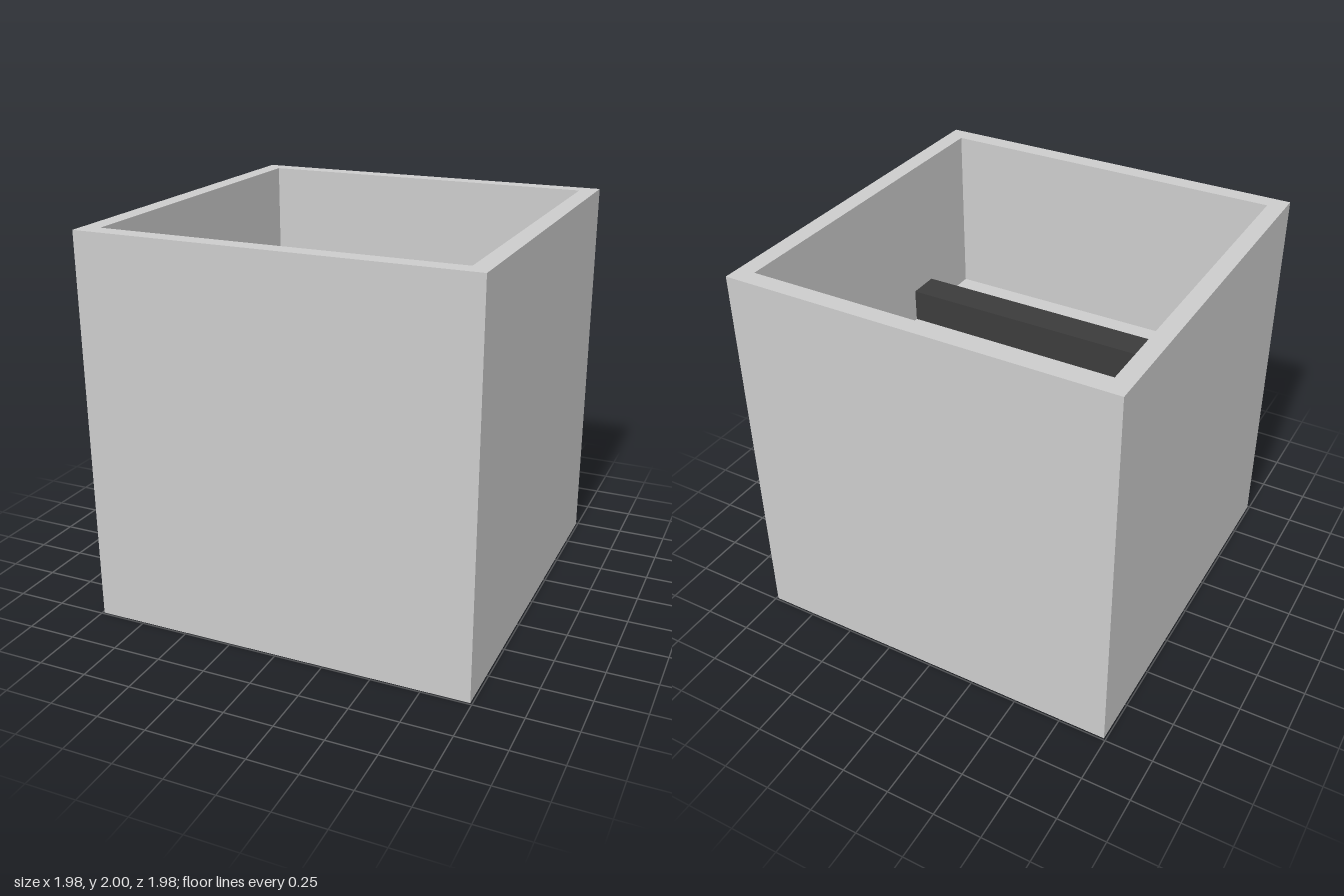
import * as THREE from 'three';

const OUTER = 0.99, INNER = 0.9, TOP = 2, FLOOR = 1.1;

export function createModel() {
  const model = new THREE.Group();
  const grey = new THREE.MeshStandardMaterial({ color: 0xcccccc, flatShading: true, side: THREE.DoubleSide });
  const dark = new THREE.MeshStandardMaterial({ color: 0x3b3b3b });

  // Square shell, open underneath: outer wall, rim, inner wall, raised floor
  const profile = [[OUTER, 0], [OUTER, TOP], [INNER, TOP], [INNER, FLOOR], [0, FLOOR]]
    .map(([halfWidth, y]) => new THREE.Vector2(halfWidth * Math.SQRT2, y));
  const shell = new THREE.LatheGeometry(profile, 4, Math.PI / 4).toNonIndexed();
  shell.computeVertexNormals();
  add('shell', shell, grey);

  // Dark bar resting on the floor from wall to wall
  addBlock('crossBar', 2 * INNER, 0.18, 0.17, 0.445, dark);

  // Small block in the middle of the floor
  addBlock('centreBlock', 0.18, 0.09, 0.09, 0, grey);

  function add(name, geometry, material) {
    const mesh = new THREE.Mesh(geometry, material);
    mesh.name = name;
    model.add(mesh);
    return mesh;
  }

  function addBlock(name, width, height, depth, z, material) {
    const block = add(name, new THREE.BoxGeometry(width, height, depth), material);
    block.position.set(0, FLOOR + height / 2, z);
  }

  return model;
}
